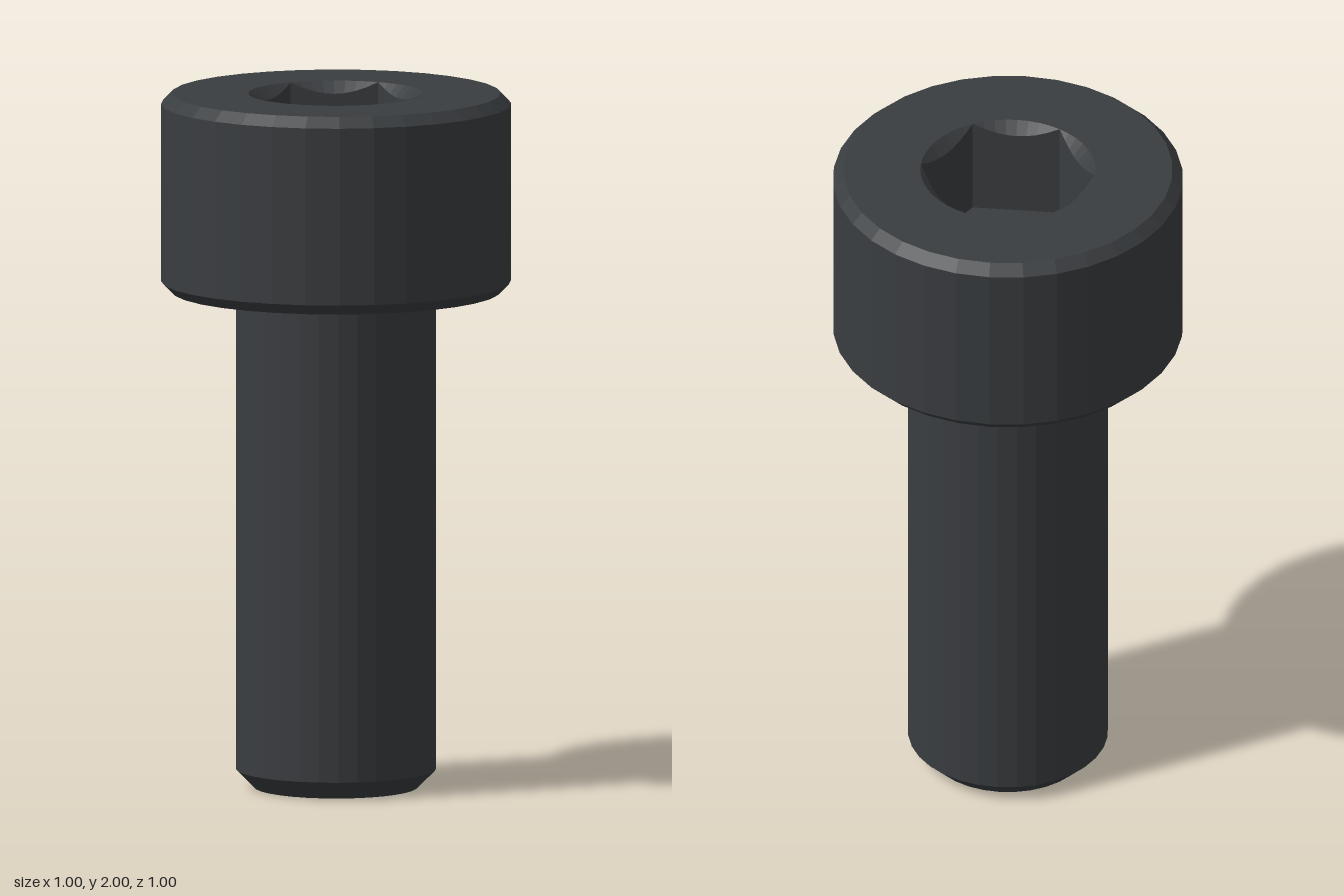
import * as THREE from 'three';

const HEAD_SIDES = 32, SOCKET_SIDES = 48, SOCKET_R = 0.25;
const TOP = 2, FLOOR = 1.71;

const material = new THREE.MeshStandardMaterial({ color: 0x3a3d40, flatShading: true });

function addPart(group, name, geometry) {
  const mesh = new THREE.Mesh(geometry, material);
  mesh.name = name;
  group.add(mesh);
  return mesh;
}

const lathe = (profile, sides) =>
  new THREE.LatheGeometry(profile.map(([r, y]) => new THREE.Vector2(r, y)), sides);

function circlePoints(radius, sides) {
  return Array.from({ length: sides }, (_, i) => {
    const a = (i / sides) * Math.PI * 2;
    return new THREE.Vector2(radius * Math.cos(a), radius * Math.sin(a));
  });
}

// Radius of a hexagon with corners on the x axis, at lathe angle phi
function hexRadius(phi) {
  const step = Math.PI / 3;
  const fromFlat = phi - step * Math.round(phi / step);
  return (SOCKET_R * Math.cos(Math.PI / 6)) / Math.cos(fromFlat);
}

// Hexagonal recess whose countersunk rim meets the flat walls in arcs
function socketGeometry() {
  const rings = [[SOCKET_R, TOP], [SOCKET_R, TOP], [SOCKET_R, FLOOR], [0, FLOOR]];
  const geometry = lathe(rings, SOCKET_SIDES);
  const pos = geometry.attributes.position;
  for (let i = 0; i < pos.count; i++) {
    const ring = i % rings.length;
    if (ring !== 1 && ring !== 2) continue;
    const phi = (Math.floor(i / rings.length) / SOCKET_SIDES) * Math.PI * 2;
    const r = hexRadius(phi);
    const y = ring === 1 ? TOP - (SOCKET_R - r) : FLOOR;
    pos.setXYZ(i, r * Math.sin(phi), y, r * Math.cos(phi));
  }
  geometry.computeVertexNormals();
  return geometry;
}

export function createModel() {
  const group = new THREE.Group();
  group.name = 'socketHeadScrew';

  // Shank with chamfered tip and a small fillet under the head
  const shank = [[0, 0], [0.233, 0], [0.286, 0.053]];
  const fillet = 0.026;
  for (let i = 0; i <= 4; i++) {
    const a = (i / 4) * Math.PI / 2;
    shank.push([0.286 + fillet * (1 - Math.cos(a)), 1.43 - fillet * (1 - Math.sin(a))]);
  }
  addPart(group, 'shank', lathe(shank, HEAD_SIDES));

  // Head, chamfered above and below
  addPart(group, 'head', lathe(
    [[0.286 + fillet, 1.43], [0.47, 1.43], [0.5, 1.46], [0.5, 1.97], [0.47, TOP]], HEAD_SIDES));

  // Flat top face around the socket
  const face = new THREE.Shape(circlePoints(0.47, HEAD_SIDES));
  face.holes.push(new THREE.Path(circlePoints(SOCKET_R, SOCKET_SIDES)));
  const faceGeometry = new THREE.ShapeGeometry(face);
  faceGeometry.rotateX(-Math.PI / 2).translate(0, TOP, 0);
  addPart(group, 'headTopFace', faceGeometry);

  addPart(group, 'hexSocket', socketGeometry());
  return group;
}
